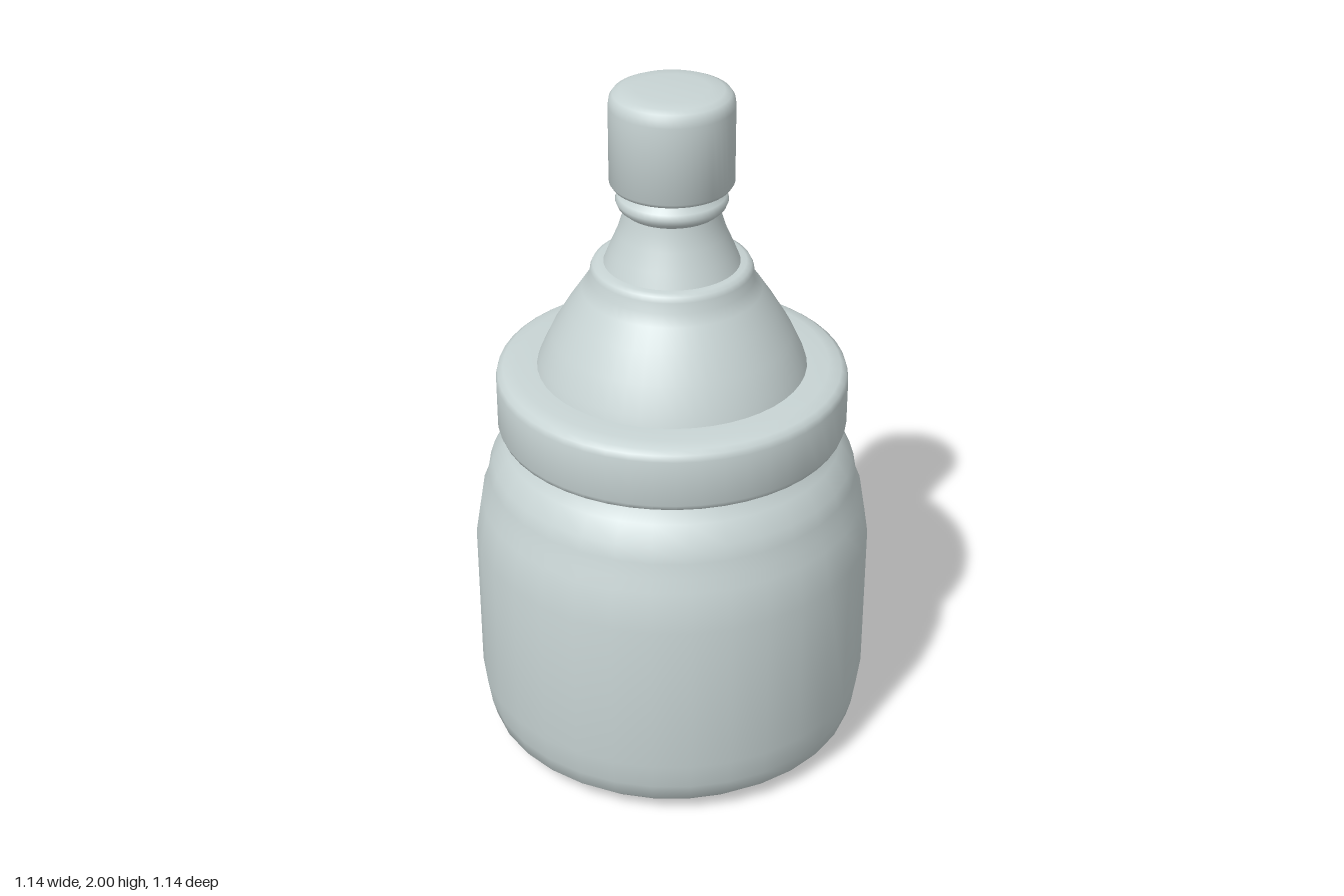
import * as THREE from 'three';
import { toCreasedNormals } from 'three/addons/utils/BufferGeometryUtils.js';

export function createModel() {
  const group = new THREE.Group();
  const paleGrey = new THREE.MeshStandardMaterial({ color: 0xc8d4d4, side: THREE.DoubleSide });
  paleGrey.name = 'paleGrey';

  // Turn a bottom-to-top [radius, height] profile around the vertical axis
  function turned(name, profile, segments = 32) {
    const points = profile.map(([r, y]) => new THREE.Vector2(r, y));
    const lathe = new THREE.LatheGeometry(points, segments);
    const mesh = new THREE.Mesh(toCreasedNormals(lathe, 0.85), paleGrey);
    mesh.name = name;
    group.add(mesh);
  }

  // Jar with a stepped, recessed base and rounded shoulder
  turned('jarBody', [
    [0, 0.035], [0.2, 0.035], [0.23, 0.025], [0.26, 0.025], [0.28, 0.015],
    [0.34, 0.015], [0.36, 0.005], [0.43, 0], [0.49, 0.01], [0.545, 0.06],
    [0.558, 0.11], [0.57, 0.19], [0.57, 0.65], [0.55, 0.77], [0.536, 0.805],
    [0.528, 0.85], [0.515, 0.89], [0.48, 0.945], [0.452, 0.975], [0.442, 1.01],
  ]);

  // Wide screw collar
  turned('collar', [
    [0.42, 0.995], [0.475, 0.995], [0.489, 1.0], [0.495, 1.015], [0.495, 1.15],
    [0.49, 1.168], [0.475, 1.178], [0.44, 1.185], [0.36, 1.185],
  ], 48);

  // Domed cone ending in a small lip
  turned('cone', [
    [0.38, 1.18], [0.37, 1.21], [0.335, 1.285], [0.29, 1.36], [0.25, 1.42],
    [0.228, 1.45], [0.225, 1.48], [0.218, 1.494], [0.205, 1.5], [0.17, 1.5],
  ], 48);

  // Slender flared neck with a bead below the cap
  turned('neck', [
    [0.19, 1.495], [0.172, 1.54], [0.15, 1.59], [0.137, 1.63], [0.132, 1.655],
    [0.147, 1.668], [0.154, 1.685], [0.148, 1.7], [0.13, 1.712], [0.124, 1.74],
  ], 48);

  // Rounded cap
  turned('cap', [
    [0, 1.725], [0.15, 1.725], [0.163, 1.729], [0.17, 1.74], [0.17, 1.955],
    [0.167, 1.975], [0.158, 1.988], [0.14, 1.996], [0.1, 2], [0, 2],
  ], 48);

  return group;
}
